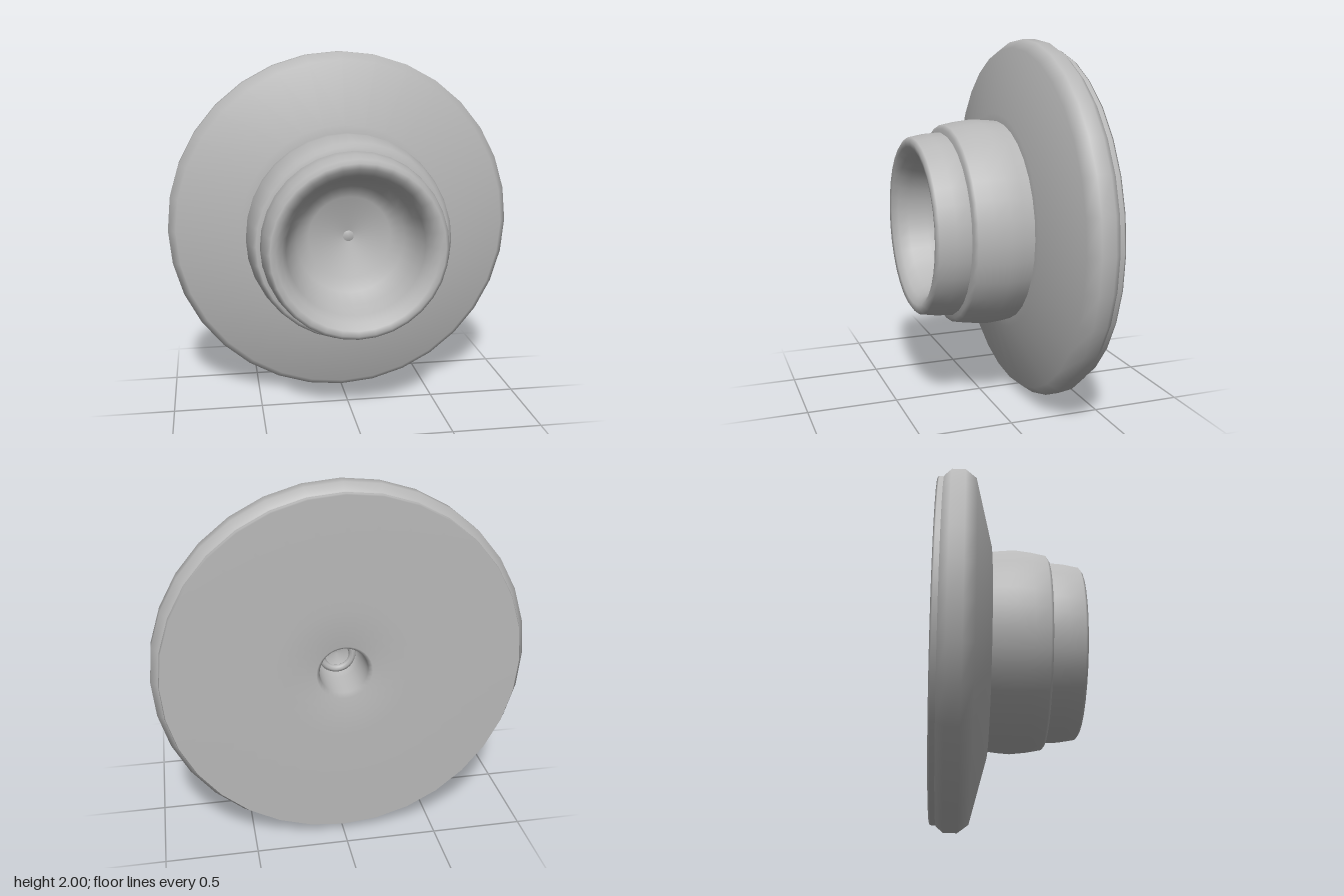
import * as THREE from 'three';

const SIDES = 32;

export function createModel() {
  const group = new THREE.Group();
  const grey = new THREE.MeshStandardMaterial({ color: 0xb8b8b8 });
  grey.name = 'plain grey';

  // Turned part: [radius, z] pairs running from back to front, spun about the z axis
  function turned(name, profile) {
    const points = profile.map(([r, z]) => new THREE.Vector2(r, z));
    const geometry = new THREE.LatheGeometry(points, SIDES);
    geometry.rotateX(Math.PI / 2);
    const mesh = new THREE.Mesh(geometry, grey);
    mesh.name = name;
    mesh.position.y = 1;
    group.add(mesh);
    return mesh;
  }

  // Flat back plate with a central bore, softened at both edges
  turned('backPlate', [
    [0, -0.14], [0.1, -0.15], [0.125, -0.2], [0.13, -0.37], [0.15, -0.395],
    [0.37, -0.4], [0.955, -0.4], [0.96, -0.39], [0.96, -0.36],
  ]);

  // Wide flange with rounded rim and sloping front
  turned('flange', [
    [0.94, -0.37], [0.965, -0.365], [1, -0.325], [1, -0.25],
    [0.955, -0.19], [0.6, -0.1], [0.5, -0.1],
  ]);

  // Bulging hub
  turned('hub', [
    [0.555, -0.12], [0.565, -0.04], [0.57, 0.03], [0.56, 0.12],
    [0.545, 0.2], [0.525, 0.215], [0.48, 0.22],
  ]);

  // Front collar, rolled lip and hollow bowl
  turned('collarAndBowl', [
    [0.49, 0.2], [0.505, 0.225], [0.5, 0.3], [0.485, 0.385], [0.465, 0.4],
    [0.435, 0.395], [0.4, 0.365], [0.375, 0.31], [0.35, 0.21],
    [0.3, 0.12], [0.23, 0.07], [0.03, 0.03],
  ]);

  // Small button at the bottom of the bowl
  turned('bowlButton', [[0.03, 0.02], [0.03, 0.032], [0, 0.032]]);

  // Ring seated inside the rear bore
  const ring = new THREE.Mesh(new THREE.TorusGeometry(0.085, 0.02, 8, SIDES), grey);
  ring.name = 'boreRing';
  ring.position.set(0, 1, -0.165);
  group.add(ring);

  return group;
}
